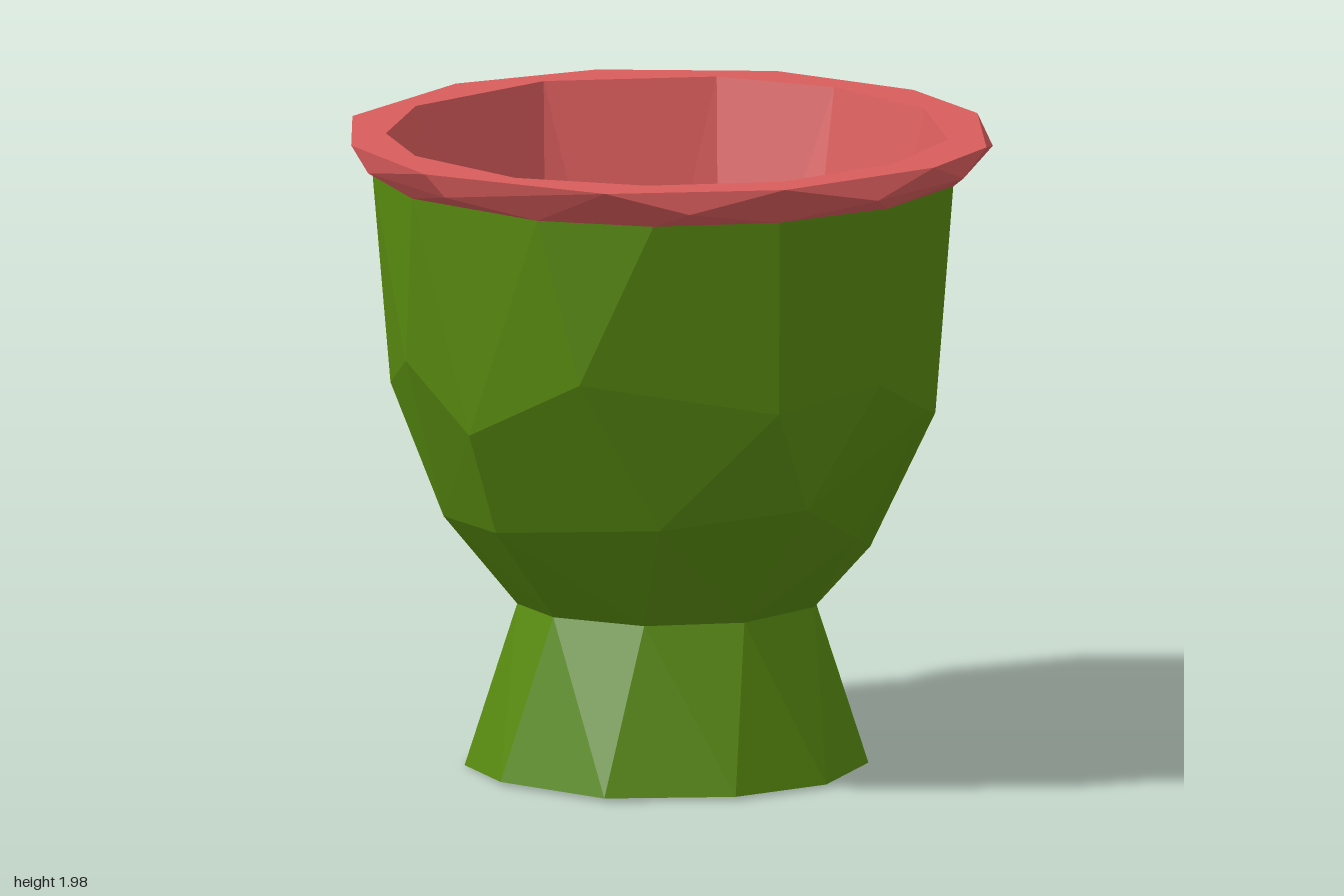
import * as THREE from 'three';
import { ConvexGeometry } from 'three/addons/geometries/ConvexGeometry.js';

// Corner rings of the faceted goblet: [x, z] on a level ring, [x, y, z] where heights vary
const footBottom = [[0.16, 0.01, 0.61], [0.5, 0, 0.37], [0.63, 0.03, -0.02], [0.52, 0, -0.36], [0.2, 0.01, -0.6],
  [-0.2, 0.01, -0.6], [-0.52, 0, -0.34], [-0.62, 0.01, -0.02], [-0.52, 0.01, 0.38], [-0.18, 0.01, 0.6]];
const waist = [[0.27, 0.4], [0.45, 0.14], [0.45, -0.1], [0.33, -0.33], [0.07, -0.47],
  [-0.22, -0.41], [-0.43, -0.19], [-0.47, 0.05], [-0.33, 0.33], [-0.05, 0.47]];
const bowlLower = [[-0.04, 0.92, 0.78], [0.27, 0.77, 0.62], [0.47, 0.69, 0.42], [0.63, 0.69, -0.04], [0.45, 0.77, -0.53],
  [0.05, 0.65, -0.6], [-0.36, 0.75, -0.57], [-0.63, 0.8, -0.3], [-0.69, 0.81, 0.05], [-0.45, 0.87, 0.57]];
const bowlUpper = [[0.18, 1.3, 0.86], [0.45, 1.17, 0.74], [0.66, 1.1, 0.5], [0.78, 1.05, 0.26], [0.88, 1.36, -0.08],
  [0.79, 1.01, -0.24], [0.63, 1.29, -0.6], [0.5, 1.24, -0.72], [0.1, 1.0, -0.79], [0.05, 1.38, -0.88],
  [-0.45, 1.2, -0.73], [-0.7, 1.2, -0.48], [-0.85, 1.33, -0.2], [-0.83, 1.14, 0.1], [-0.72, 1.35, 0.52], [-0.2, 1.25, 0.85]];
const bowlTop = [[-0.22, 0.88], [0.18, 0.9], [0.55, 0.74], [0.86, 0.31], [0.86, -0.29], [0.6, -0.69],
  [0.1, -0.88], [-0.4, -0.82], [-0.74, -0.52], [-0.9, -0.1], [-0.8, 0.41], [-0.57, 0.7]];
const rimMiddle = [[0.08, 0.985], [0.5, 0.86], [0.88, 0.5], [0.98, 0.05], [0.9, -0.38], [0.6, -0.74],
  [0.15, -0.94], [-0.5, -0.86], [-0.92, -0.3], [-0.96, 0.15], [-0.52, 0.82]];
const rimOuter = [[-0.07, -0.99], [0.41, -0.91], [0.84, -0.56], [1.0, -0.07], [0.94, 0.34], [0.64, 0.79],
  [0.32, 0.95], [-0.26, 0.96], [-0.74, 0.68], [-1.0, 0.1], [-0.91, -0.4], [-0.63, -0.77]];
const rimInner = [[0.17, -0.86], [0.64, -0.6], [0.83, -0.25], [0.85, 0.19], [0.62, 0.62], [0.25, 0.83],
  [-0.19, 0.85], [-0.56, 0.65], [-0.81, 0.31], [-0.85, -0.15], [-0.71, -0.49], [-0.38, -0.78]];
const cavityMiddle = [[0.24, -0.5], [0.47, -0.36], [0.57, -0.1], [0.56, 0.16], [0.38, 0.45], [0.05, 0.57],
  [-0.29, 0.5], [-0.56, 0.17], [-0.54, -0.22], [-0.31, -0.48], [-0.02, -0.59]];
const cavityFloor = [[-0.04, -0.31], [0.28, -0.13], [0.29, 0.2], [-0.12, 0.25], [-0.4, 0.08], [-0.28, -0.1]];

const WAIST_Y = 0.52, RIM_Y = 1.86, TOP_Y = 1.98;
const level = (ring, y) => ring.map(([x, z]) => [x, y, z]);

// Faceted skin around rings of points, left open at the given heights; inward turns it into a lining
function facetedSkin(points, openHeights, inward = false) {
  const hull = new ConvexGeometry(points.map((p) => new THREE.Vector3(...p))).toNonIndexed?.() ?? null;
  const pos = hull.getAttribute('position');
  const out = [];
  for (let i = 0; i < pos.count; i += 3) {
    const tri = [0, 1, 2].map((k) => new THREE.Vector3().fromBufferAttribute(pos, i + k));
    const isCap = openHeights.some((h) => tri.every((v) => Math.abs(v.y - h) < 1e-4));
    if (isCap) continue;
    if (inward) tri.reverse();
    tri.forEach((v) => out.push(v.x, v.y, v.z));
  }
  const geometry = new THREE.BufferGeometry();
  geometry.setAttribute('position', new THREE.Float32BufferAttribute(out, 3));
  geometry.computeVertexNormals();
  return geometry;
}

export function createModel() {
  const green = new THREE.MeshStandardMaterial({ color: 0x588a10 });
  green.name = 'leaf green';
  const red = new THREE.MeshStandardMaterial({ color: 0xd95c5c });
  red.name = 'coral red';

  const model = new THREE.Group();
  model.name = 'goblet';
  const add = (name, geometry, material) => {
    const mesh = new THREE.Mesh(geometry, material);
    mesh.name = name;
    model.add(mesh);
  };

  // Flared foot and the bowl above it
  add('foot', facetedSkin([...footBottom, ...level(waist, WAIST_Y)], [WAIST_Y]), green);
  add('bowl', facetedSkin([...level(waist, WAIST_Y), ...bowlLower, ...bowlUpper, ...level(bowlTop, RIM_Y)],
    [WAIST_Y, RIM_Y]), green);

  // Overhanging rim: outer band and flat top
  add('rimBand', facetedSkin([...level(bowlTop, RIM_Y), ...level(rimMiddle, 1.91), ...level(rimOuter, TOP_Y)],
    [RIM_Y, TOP_Y]), red);
  const flat = (ring) => ring.map(([x, z]) => new THREE.Vector2(x, -z));
  const shape = new THREE.Shape(flat(rimOuter));
  shape.holes.push(new THREE.Path(flat(rimInner)));
  add('rimTop', new THREE.ShapeGeometry(shape).rotateX(-Math.PI / 2).translate(0, TOP_Y, 0), red);

  // Hollow inside of the bowl
  add('lining', facetedSkin([...level(rimInner, TOP_Y), ...level(cavityMiddle, 0.9),
    ...level(cavityFloor, 0.62), [-0.08, 0.7, 0.4]], [TOP_Y], true), red);

  return model;
}
